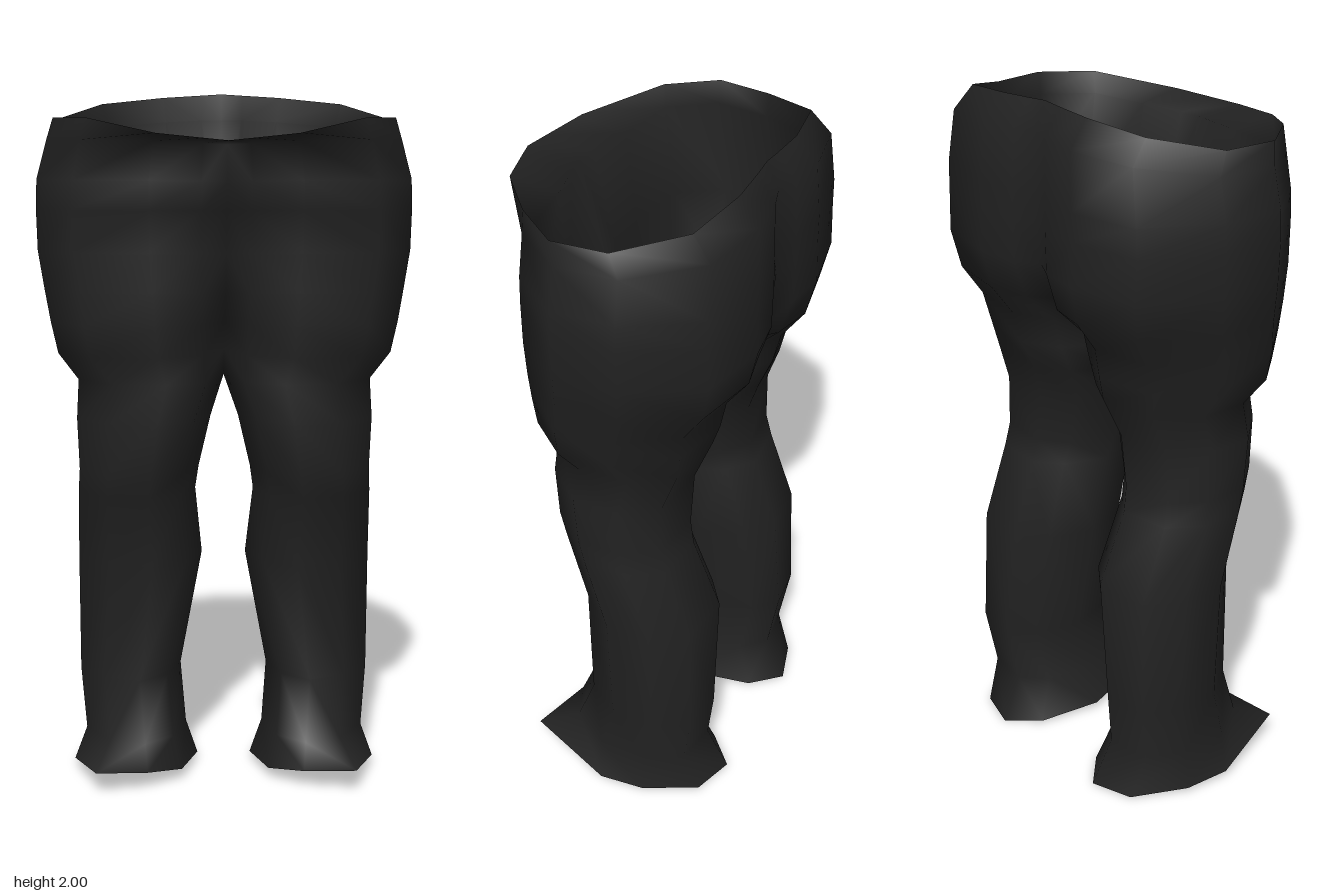
import * as THREE from 'three';
import { mergeVertices } from 'three/addons/utils/BufferGeometryUtils.js';

// Half sections from waist to hem:
// y, waist tilt, inner x, outer x, back z, front z, [z of the centre seam at back, at front]
const RIM = [1.93, 1, 0, 0.48, -0.315, 0.33, -0.31, 0.39];
const HEM = [0.027, 0, 0.08, 0.45, -0.355, 0.17];
const OUTER = [
  RIM,
  [1.87, 0.8, 0, 0.5, -0.375, 0.21, -0.345, 0.25],
  [1.76, 0, 0, 0.53, -0.385, 0.23, -0.345, 0.31], // front fold
  [1.68, 0, 0, 0.533, -0.385, 0.2, -0.35, 0.24],
  [1.56, 0, 0, 0.53, -0.39, 0.2, -0.335, 0.19], // seat
  [1.45, 0, 0, 0.512, -0.365, 0.2, -0.28, 0.14],
  [1.36, 0, 0, 0.495, -0.3, 0.195, -0.13, 0.04],
  [1.27, 0, 0, 0.475, -0.28, 0.19, -0.1, -0.03],
  [1.19, 0, 0, 0.42, -0.25, 0.185, -0.08, -0.08], // crotch: the section closes into a leg
  [1.08, 0, 0.04, 0.425, -0.21, 0.19],
  [0.93, 0, 0.075, 0.42, -0.21, 0.175],
  [0.86, 0, 0.085, 0.425, -0.225, 0.15],
  [0.65, 0, 0.065, 0.43, -0.305, 0.09], // calf
  [0.3, 0, 0.13, 0.43, -0.315, 0.07],
  [0.13, 0, 0.115, 0.412, -0.29, 0.14],
  HEM,
];
const LINING = [
  RIM,
  [1.87, 0.8, 0, 0.46, -0.315, 0.19, -0.3, 0.235],
  [1.6, 0, 0, 0.47, -0.32, 0.16, -0.28, 0.16],
  [1.35, 0, 0, 0.44, -0.25, 0.15, -0.1, 0],
  [1.22, 0, 0, 0.38, -0.2, 0.145, -0.08, -0.08],
  [0.93, 0, 0.11, 0.38, -0.17, 0.13],
  [0.65, 0, 0.11, 0.385, -0.255, 0.05],
  [0.3, 0, 0.17, 0.38, -0.265, 0.025],
  [0.13, 0, 0.155, 0.37, -0.25, 0.09],
  HEM,
];

// Outer side of each kind of section, as fractions of its width and depth
const HIP_SIDE = [[0.74, 0.07], [0.97, 0.4], [1, 0.7], [0.8, 0.95]];
const LEG_SIDE = [[0.8, 0.04], [0.99, 0.29], [1, 0.62], [0.75, 0.9]];
const HEM_SIDE = [[0.7, 0.07], [0.94, 0.35], [1, 0.6], [0.8, 1.09]]; // pointed front corner

// Waist rises to a peak at the back and dips at the front
function waistOffset(x, z) {
  if (z < -0.12) return (0.07 - 0.06 * x) * Math.min(1, (-0.12 - z) / 0.19);
  return z > 0.2 ? -0.06 * Math.min(1, (z - 0.2) / 0.19) : 0;
}

// One section, from the back seam round the outside to the front seam
function section(row) {
  const [y, tilt, xi, xo, zB, zF, zbC = (zB + zF) / 2, zfC = (zB + zF) / 2] = row;
  const mix = THREE.MathUtils.lerp;
  let side = LEG_SIDE;
  if (row === HEM) side = HEM_SIDE;
  else if (y > 1.2) side = HIP_SIDE;
  const profile = [
    [0, zbC], [0.13, mix(zbC, zB, 0.68)], [0.36, zB],
    ...side.map(([t, d]) => [t, mix(zB, Math.min(zF, 0.2), d)]),
    [0.4, zF], [0.13, mix(zfC, zF, zfC > zF ? 0.32 : 0.68)], [0, zfC],
  ];
  return profile.map(([t, z]) => {
    const x = mix(xi, xo, t);
    const hemLift = row === HEM ? 0.07 * z + 0.3 * Math.max(0, z - 0.12) : 0;
    return [x, y + tilt * waistOffset(x, z) + hemLift, z];
  });
}

// Skin the sections on both sides and weld the seams so the cloth shades smoothly
function loft(sections) {
  const positions = [];
  const index = [];
  const rows = sections.map(section);
  const width = rows[0].length;
  for (const s of [1, -1]) {
    const base = positions.length / 3;
    for (const row of rows) for (const [x, y, z] of row) positions.push(s * x, y, z);
    for (let r = 0; r < rows.length - 1; r++) {
      for (let j = 0; j < width - 1; j++) {
        const a = base + r * width + j;
        const b = a + 1;
        const c = a + width;
        const d = c + 1;
        if (s > 0) index.push(a, b, c, b, d, c);
        else index.push(a, c, b, b, c, d);
      }
    }
  }
  let geometry = new THREE.BufferGeometry();
  geometry.setAttribute('position', new THREE.Float32BufferAttribute(positions, 3));
  geometry.setIndex(index);
  geometry = mergeVertices(geometry, 1e-4);
  geometry.computeVertexNormals();
  return geometry;
}

export function createModel() {
  const group = new THREE.Group();
  group.name = 'trousers';
  const cloth = new THREE.MeshStandardMaterial({ color: 0x222222, side: THREE.DoubleSide });
  cloth.name = 'blackCloth';
  for (const [name, sections] of [['outerCloth', OUTER], ['lining', LINING]]) {
    const mesh = new THREE.Mesh(loft(sections), cloth);
    mesh.name = name;
    group.add(mesh);
  }
  return group;
}
